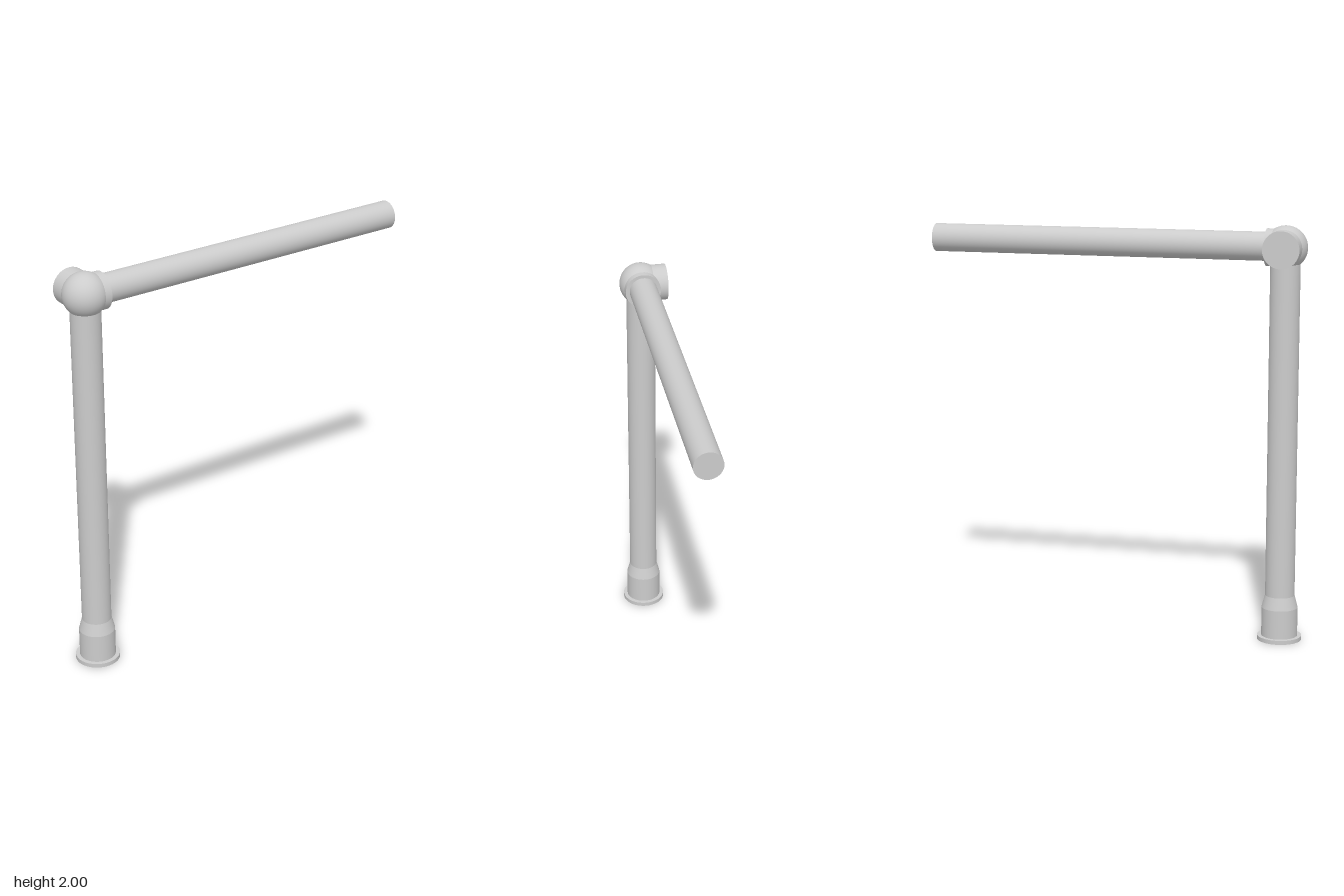
import * as THREE from 'three';

export function createModel() {
  const model = new THREE.Group();
  const material = new THREE.MeshStandardMaterial({ color: 0xcccccc });
  const X = 0.008, Z = 0.814, Y = 1.897; // post axis and joint height
  const R = 0.071; // tube radius

  const add = (name, geometry, parent = model) => {
    const mesh = new THREE.Mesh(geometry, material);
    mesh.name = name;
    parent.add(mesh);
    return mesh;
  };
  // Cylinder running from h0 to h1 along its own y axis
  const tube = (name, r0, r1, h0, h1, parent) => {
    const g = new THREE.CylinderGeometry(r1, r0, h1 - h0, 48);
    g.translate(0, (h0 + h1) / 2, 0);
    return add(name, g, parent);
  };

  // Upright with its floor socket
  const upright = new THREE.Group();
  upright.name = 'upright';
  upright.position.set(X, 0, Z);
  tube('baseFlange', 0.107, 0.107, 0, 0.02, upright);
  tube('baseSleeve', 0.087, 0.087, 0.02, 0.16, upright);
  tube('baseTaper', 0.087, R, 0.16, 0.22, upright);
  tube('post', R, R, 0.22, Y, upright);
  model.add(upright);

  // Ball joint with one side socket and one rear socket
  const joint = new THREE.Group();
  joint.name = 'ballJoint';
  joint.position.set(X, Y, Z);
  add('ball', new THREE.SphereGeometry(0.104, 48, 32), joint);
  tube('sideSocket', 0.088, 0.088, 0, 0.126, joint).rotation.z = Math.PI / 2;
  tube('rearSocket', 0.088, 0.088, 0, 0.089, joint).rotation.x = -Math.PI / 2;
  model.add(joint);

  // Horizontal rail running to the back
  const rail = tube('rail', 0.068, 0.068, 0, Z + 0.918);
  rail.position.set(X, Y + 0.004, Z);
  rail.rotation.x = -Math.PI / 2;

  return model;
}
